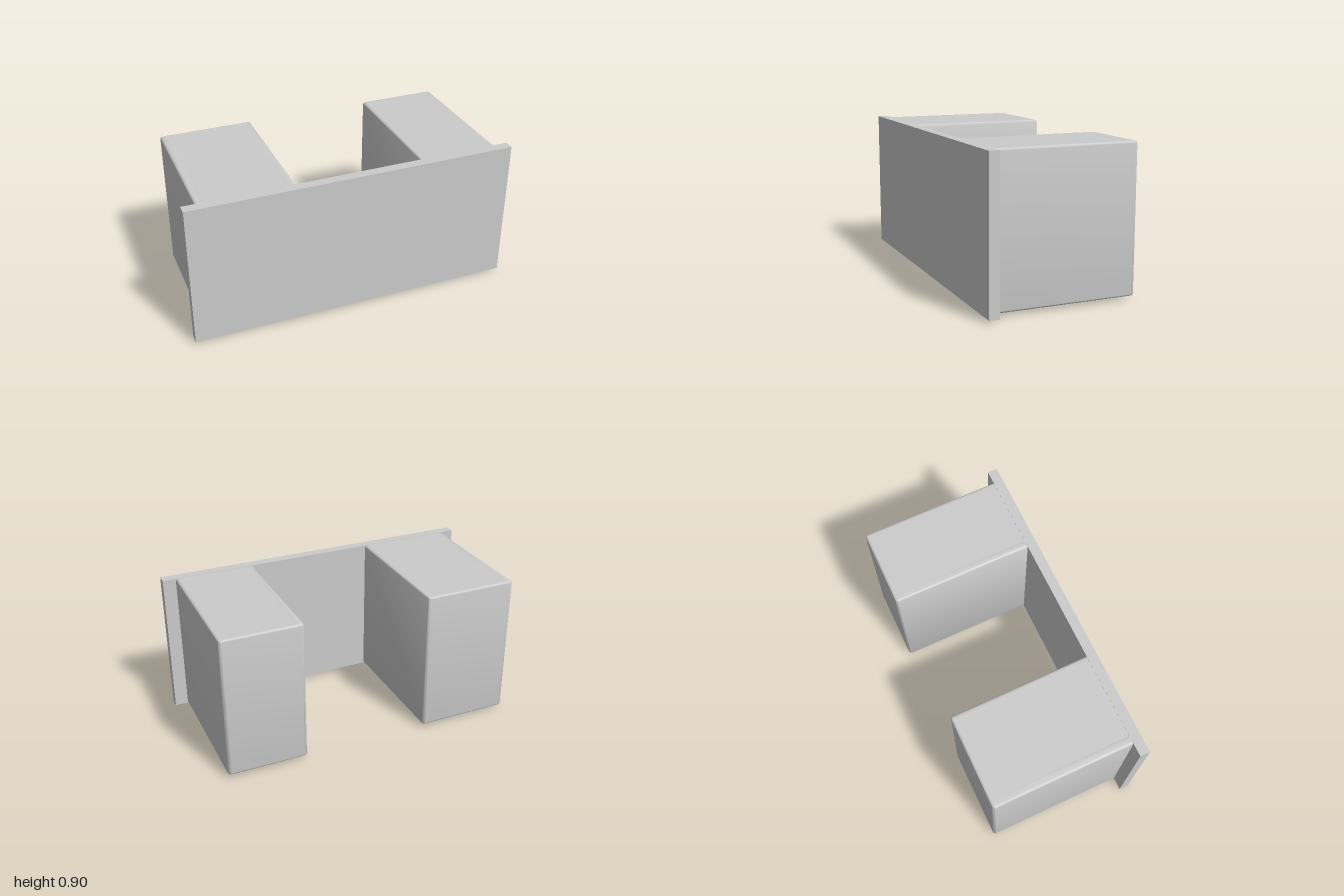
import * as THREE from 'three';
import { toCreasedNormals } from 'three/addons/utils/BufferGeometryUtils.js';

const BOTTOM = 0.018, TOP = 0.898;   // pedestal height range
const BACK = -0.46, FRONT = 0.43;    // pedestal depth range, its front sunk into the slab
const OPEN_BACK = -0.43, OPEN_FRONT = 0.385;

export function createModel() {
  const model = new THREE.Group();
  model.name = 'desk';
  const material = new THREE.MeshStandardMaterial({ color: 0xcccccc });

  function add(parent, name, geometry, x = 0, y = 0, z = 0) {
    const mesh = new THREE.Mesh(geometry, material);
    mesh.name = name;
    mesh.position.set(x, y, z);
    parent.add(mesh);
  }

  function addBox(parent, name, [x0, x1], [y0, y1], [z0, z1]) {
    add(parent, name, new THREE.BoxGeometry(x1 - x0, y1 - y0, z1 - z0),
      (x0 + x1) / 2, (y0 + y1) / 2, (z0 + z1) / 2);
  }

  // Rectangle in x and -z with rounded corners
  function roundedOutline(x0, x1, z0, z1, r) {
    const s = new THREE.Shape(), b = -z1, t = -z0;
    s.absarc(x1 - r, b + r, r, -Math.PI / 2, 0);
    s.absarc(x1 - r, t - r, r, 0, Math.PI / 2);
    s.absarc(x0 + r, t - r, r, Math.PI / 2, Math.PI);
    s.absarc(x0 + r, b + r, r, Math.PI, Math.PI * 1.5);
    s.closePath();
    return s;
  }

  // Pedestal with a recess holding three drawer fronts on its underside
  function addPedestal(name, x0, x1, open0, open1, knobX, drawerY) {
    const group = new THREE.Group();
    group.name = name;
    model.add(group);

    const r = 0.014;
    const outline = roundedOutline(x0, x1, BACK, FRONT, 0.018);
    outline.holes.push(new THREE.Path([
      new THREE.Vector2(open0, -OPEN_FRONT), new THREE.Vector2(open0, -OPEN_BACK),
      new THREE.Vector2(open1, -OPEN_BACK), new THREE.Vector2(open1, -OPEN_FRONT),
    ]));
    const shell = new THREE.ExtrudeGeometry(outline, {
      depth: TOP - BOTTOM - 2 * r, bevelThickness: r, bevelSize: r,
      bevelOffset: -r, bevelSegments: 4, curveSegments: 5,
    });
    shell.rotateX(-Math.PI / 2);
    add(group, name + 'Shell', toCreasedNormals(shell, 0.6), 0, BOTTOM + r, 0);

    // Top panel closing the shell
    addBox(group, name + 'Lid', [open0 - r, open1 + r], [TOP - 0.03, TOP],
      [OPEN_BACK - r, OPEN_FRONT + r]);

    // Backing, drawer fronts and the rail in front of the deep drawer
    addBox(group, 'drawerBacking', [open0, open1], [drawerY + 0.012, drawerY + 0.05],
      [OPEN_BACK, OPEN_FRONT]);
    const drawers = [[0.183, OPEN_FRONT], [-0.045, 0.177], [OPEN_BACK, -0.062]];
    for (const span of drawers) {
      addBox(group, 'drawerFront', [open0, open1], [drawerY, drawerY + 0.04], span);
    }
    addBox(group, 'drawerRail', [open0, open1], [drawerY - 0.012, drawerY + 0.04],
      [-0.06, -0.047]);

    // Knobs
    for (const z of [0.28, 0.08, -0.175]) {
      add(group, 'knob', new THREE.SphereGeometry(0.02, 20, 14), knobX, drawerY - 0.016, z);
    }
  }

  // Wide slab across the front
  addBox(model, 'slab', [-1, 1], [0.016, 0.9], [0.4, 0.46]);

  addPedestal('leftPedestal', 0.43, 0.92, 0.485, 0.88, 0.71, 0.036);
  addPedestal('rightPedestal', -0.92, -0.345, -0.855, -0.4, -0.62, 0.08);

  return model;
}
